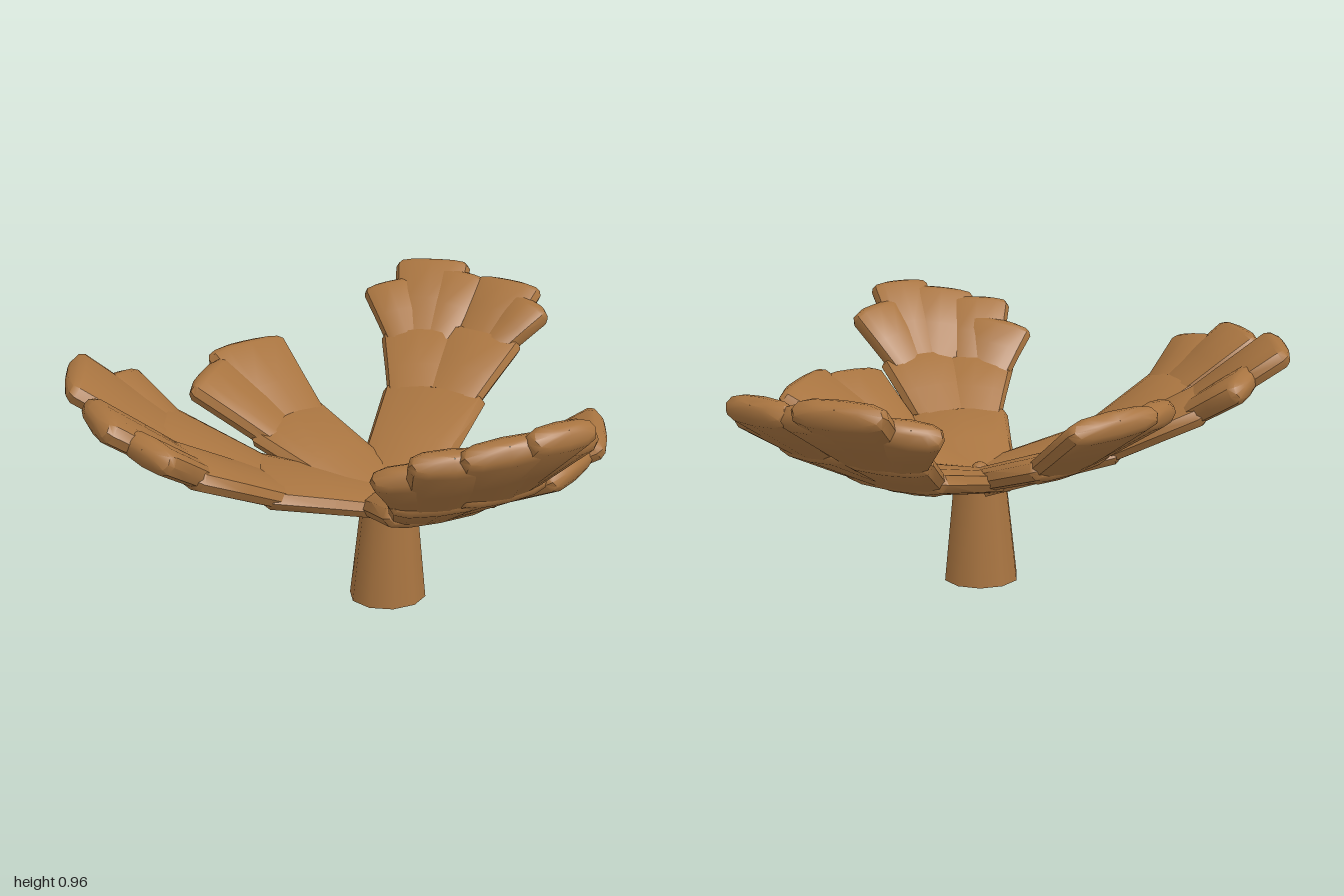
import * as THREE from 'three';
import { toCreasedNormals } from 'three/addons/utils/BufferGeometryUtils.js';

const CX = 0.175, CZ = 0.11, BASE_Y = 0.38, CURVE = 1.65, SIDES = 12;
const material = new THREE.MeshStandardMaterial({ color: 0xa87440 });

// Surface of the bowl that a branch climbs; rise sets its steepness
function bowlPoint(x, z, rise) {
  const r = Math.hypot(x - CX, z - CZ);
  return new THREE.Vector3(x, BASE_Y + rise * r ** CURVE, z);
}

function bowlNormal(p, rise) {
  const dx = p.x - CX, dz = p.z - CZ;
  const r = Math.max(Math.hypot(dx, dz), 0.01);
  const slope = rise * CURVE * r ** (CURVE - 1);
  return new THREE.Vector3(-slope * dx / r, 1, -slope * dz / r).normalize();
}

// Flattened, widening lobe with a softly rounded tip; lift raises its far end
function lobeGeometry(start, end, w0, w1, rise, lift) {
  const a = bowlPoint(start.x, start.y, rise), b = bowlPoint(end.x, end.y, rise);
  b.y += lift;
  const dir = b.clone().sub(a).normalize();
  const normal = bowlNormal(a.clone().lerp(b, 0.5), rise);
  normal.addScaledVector(dir, -normal.dot(dir)).normalize();
  const side = normal.clone().cross(dir);
  const length = a.distanceTo(b);
  const power = (v) => Math.sign(v) * Math.abs(v) ** 0.7;

  // Rings: distance along the lobe, half width, half thickness
  const rings = [
    [0, 0.001, 0.001], [0, w0, 0.042],
    [length * 0.5, (w0 + w1) * 0.5, 0.046],
    [length - 0.025, w1, 0.048],
    [length - 0.005, w1 * 0.92, 0.036],
    [length + 0.012, w1 * 0.5, 0.014],
    [length + 0.015, 0.001, 0.001],
  ];
  const positions = [], index = [];
  rings.forEach(([t, w, h], i) => {
    for (let j = 0; j < SIDES; j++) {
      const angle = (j / SIDES) * Math.PI * 2;
      const p = a.clone().addScaledVector(dir, t)
        .addScaledVector(side, w * power(Math.cos(angle)))
        .addScaledVector(normal, h * power(Math.sin(angle)));
      positions.push(p.x, p.y, p.z);
      if (i === 0) continue;
      const k = (j + 1) % SIDES, lo = (i - 1) * SIDES, hi = i * SIDES;
      index.push(lo + j, lo + k, hi + k, lo + j, hi + k, hi + j);
    }
  });
  const geometry = new THREE.BufferGeometry();
  geometry.setAttribute('position', new THREE.Float32BufferAttribute(positions, 3));
  geometry.setIndex(index);
  return toCreasedNormals(geometry, 0.75);
}

// A lobe sprouts just inside its parent's end, shifted toward the side it leans to
function sproutPoint(parent, end) {
  const along = parent.end.clone().sub(parent.start);
  const across = new THREE.Vector2(-along.y, along.x).normalize();
  const lean = end.clone().sub(parent.end).dot(across);
  return parent.end.clone().addScaledVector(along, -0.15).addScaledVector(across, 0.3 * lean);
}

// Tiers of lobes, each given by its end x, end z and half width;
// every lobe grows from the nearest lobe of the tier below
function makeBranch(name, rise, tipLift, trunk, limbs, tips) {
  const branch = new THREE.Group();
  branch.name = name;

  const grow = (label, start, end, w0, w1, lift) => {
    const mesh = new THREE.Mesh(lobeGeometry(start, end, w0, w1, rise, lift), material);
    mesh.name = label;
    branch.add(mesh);
    return { start, end };
  };
  const growTier = (label, lobes, parents, taper, lift) => lobes.map(([x, z, w], i) => {
    const end = new THREE.Vector2(x, z);
    const parent = parents.reduce((p, q) =>
      (q.end.distanceTo(end) < p.end.distanceTo(end) ? q : p));
    return grow(`${label}${i + 1}`, sproutPoint(parent, end), end, w * taper, w, lift);
  });

  const [x, z, w] = trunk;
  const root = grow('trunk', new THREE.Vector2(CX, CZ), new THREE.Vector2(x, z), w * 0.7, w, 0);
  const limbLobes = growTier('limb', limbs, [root], 0.74, 0);
  growTier('tip', tips, limbLobes, 0.78, tipLift);
  return branch;
}

export function createModel() {
  const model = new THREE.Group();
  model.name = 'branchingCoral';

  // Tapered oval stem, open underneath
  const stemMaterial = material.clone();
  stemMaterial.side = THREE.DoubleSide;
  const stem = new THREE.Mesh(
    new THREE.CylinderGeometry(0.098, 0.138, 0.38, 10, 1, true), stemMaterial);
  stem.name = 'stem';
  stem.scale.z = 0.83;
  stem.position.set(CX, 0.19, CZ);

  // Small knob where the branches meet
  const knob = new THREE.Mesh(new THREE.SphereGeometry(0.036, 8, 6), material);
  knob.name = 'centreKnob';
  knob.position.set(CX, BASE_Y + 0.03, CZ);

  // Forked branches
  model.add(
    stem,
    knob,
    makeBranch('leftBranch', 0.54, 0, [0.55, 0.27, 0.18],
      [[0.85, 0.31, 0.19], [0.69, 0.54, 0.14]], []),
    makeBranch('frontBranch', 0.61, 0.055, [0.28, 0.49, 0.2],
      [[0.21, 0.74, 0.15], [0.43, 0.72, 0.17]],
      [[0.12, 0.84, 0.14], [0.21, 0.93, 0.13], [0.36, 0.95, 0.14],
        [0.53, 0.93, 0.12], [0.62, 0.79, 0.11]]),
    makeBranch('rightBranch', 0.44, 0.02, [-0.3, 0.17, 0.2],
      [[-0.62, 0.06, 0.17], [-0.56, 0.38, 0.16]],
      [[-0.74, -0.1, 0.11], [-0.88, 0.08, 0.18],
        [-0.8, 0.41, 0.15], [-0.65, 0.56, 0.11]]),
    makeBranch('backRightBranch', 0.62, 0, [-0.16, -0.22, 0.2],
      [[-0.44, -0.25, 0.14], [-0.28, -0.48, 0.18]], []),
    makeBranch('backLeftBranch', 0.44, 0.02, [0.44, -0.41, 0.2],
      [[0.43, -0.69, 0.15], [0.67, -0.59, 0.16]],
      [[0.33, -0.89, 0.1], [0.53, -0.94, 0.15], [0.62, -0.86, 0.12],
        [0.8, -0.74, 0.14], [0.86, -0.6, 0.09]]),
  );
  return model;
}
